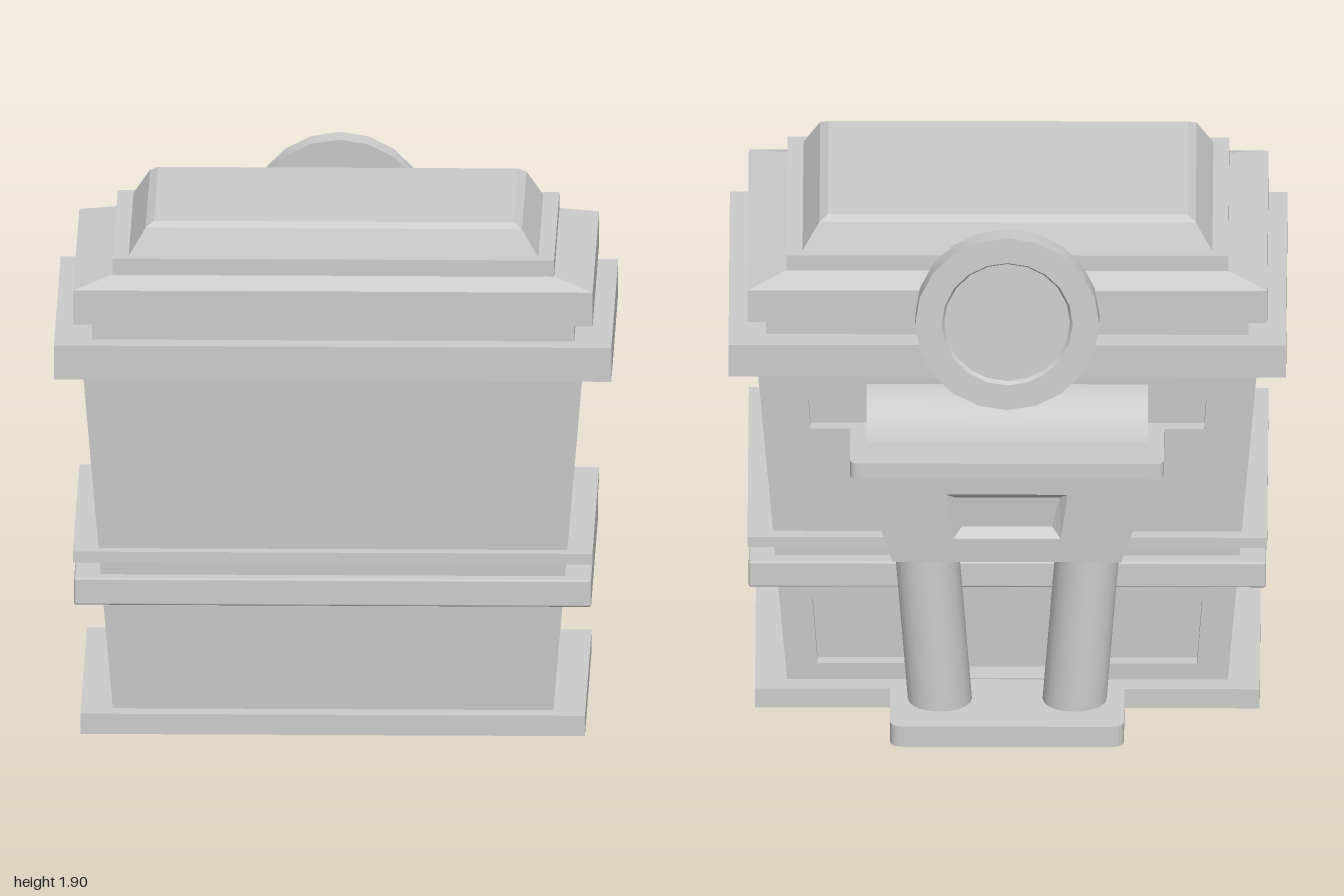
import * as THREE from 'three';
import { RoundedBoxGeometry } from 'three/addons/geometries/RoundedBoxGeometry.js';
import { toCreasedNormals } from 'three/addons/utils/BufferGeometryUtils.js';

const solid = new THREE.MeshStandardMaterial({ color: 0xcccccc });
const thin = new THREE.MeshStandardMaterial({ color: 0xcccccc, side: THREE.DoubleSide });
const inside = new THREE.MeshStandardMaterial({ color: 0xcccccc, side: THREE.BackSide });
const CZ = 0.152; // centre of the main block in z

function add(parent, name, geometry, material = solid) {
  const mesh = new THREE.Mesh(geometry, material);
  mesh.name = name;
  parent.add(mesh);
  return mesh;
}

// Box whose bottom and top rectangles may differ in size
function frustum(y0, hx0, hz0, y1, hx1 = hx0, hz1 = hz0, cz = CZ) {
  const g = new THREE.BoxGeometry(2, 1, 2).toNonIndexed();
  const p = g.attributes.position;
  for (let i = 0; i < p.count; i++) {
    const top = p.getY(i) > 0;
    p.setXYZ(i, p.getX(i) * (top ? hx1 : hx0), top ? y1 : y0, cz + p.getZ(i) * (top ? hz1 : hz0));
  }
  g.computeVertexNormals();
  return g;
}

// Quads given as corner points, flat shaded
function quads(list) {
  const pos = list.flatMap(([a, b, c, d]) => [a, b, c, a, c, d].flat());
  const g = new THREE.BufferGeometry();
  g.setAttribute('position', new THREE.Float32BufferAttribute(pos, 3));
  g.computeVertexNormals();
  return g;
}

// One sloping wall facing +z; holes are [left, right, bottom, top, recess depth (0 = open), back panel inset]
function wall(parent, name, y0, y1, w0, w1, d0, d1, holes, angle, cz, recessMaterial = thin) {
  const at = (a, b, y) => a + (b - a) * (y - y0) / (y1 - y0);
  const shape = new THREE.Shape([[-w0, y0], [w0, y0], [w1, y1], [-w1, y1]].map(p => new THREE.Vector2(...p)));
  const trays = [];
  for (const [l, r, b, t, depth, inset = 0] of holes) {
    const mid = at(w0, w1, (b + t) / 2);
    const c = [[l, b], [r, b], [r, t], [l, t]].map(([u, y]) => [u * at(w0, w1, y) / mid, y]);
    shape.holes.push(new THREE.Path(c.map(p => new THREE.Vector2(...p))));
    if (!depth) continue;
    const front = c.map(([u, y]) => [u, y, at(d0, d1, y)]);
    const back = front.map(([u, y, z], i) => [u + (i % 3 ? -inset : inset), y + (i < 2 ? inset : -inset), z - depth]);
    trays.push(back);
    for (let i = 0; i < 4; i++) {
      const j = (i + 1) % 4;
      trays.push([front[i], front[j], back[j], back[i]]);
    }
  }
  const g = new THREE.ShapeGeometry(shape);
  const p = g.attributes.position;
  for (let i = 0; i < p.count; i++) p.setZ(i, at(d0, d1, p.getY(i)));
  g.computeVertexNormals();
  const side = new THREE.Group();
  side.name = name;
  side.rotation.y = angle;
  side.position.z = cz;
  add(side, name + 'Face', g, thin);
  if (trays.length) add(side, name + 'Recesses', quads(trays), recessMaterial);
  parent.add(side);
}

// Four sloping walls
function shell(parent, name, y0, y1, hx0, hx1, hz0, hz1, cz, holes) {
  const q = Math.PI / 2;
  wall(parent, name + 'Front', y0, y1, hx0, hx1, hz0, hz1, [], 0, cz);
  wall(parent, name + 'Back', y0, y1, hx0, hx1, hz0, hz1, holes.back, Math.PI, cz);
  wall(parent, name + 'Left', y0, y1, hz0, hz1, hx0, hx1, holes.left ?? [], q, cz);
  wall(parent, name + 'Right', y0, y1, hz0, hz1, hx0, hx1, holes.right ?? [], -q, cz, inside);
}

// Flat plan shape (x, z) raised from y0 to y1, with an optional hole
function plan(shape, y0, y1, hole) {
  const s = shape.clone();
  if (hole) s.holes.push(hole);
  const g = new THREE.ExtrudeGeometry(s, { depth: y1 - y0, bevelEnabled: false, curveSegments: 5 });
  return g.rotateX(Math.PI / 2).translate(0, y1, 0);
}

function rect(Type, hx, z0, z1) {
  return new Type([[-hx, z0], [hx, z0], [hx, z1], [-hx, z1]].map(p => new THREE.Vector2(...p)));
}

function roundedPlan(hx, z0, z1, r) {
  const s = new THREE.Shape();
  s.moveTo(-hx, z1);
  s.lineTo(-hx, z0 + r);
  s.quadraticCurveTo(-hx, z0, -hx + r, z0);
  s.lineTo(hx - r, z0);
  s.quadraticCurveTo(hx, z0, hx, z0 + r);
  s.lineTo(hx, z1);
  s.closePath();
  return s;
}

export function createModel() {
  const model = new THREE.Group();
  model.name = 'building';

  // Hollow base frame
  const base = rect(THREE.Shape, 0.905, CZ - 0.64, CZ + 0.64);
  add(model, 'baseRim', plan(base, 0.01, 0.075, rect(THREE.Path, 0.85, CZ - 0.59, CZ + 0.59)));
  add(model, 'baseTop', plan(base, 0.075, 0.085, rect(THREE.Path, 0.785, CZ - 0.55, CZ + 0.55)));

  // Main walls with windows, niches and door
  const pair = (a, b, y0, y1, d) => [[a, b, y0, y1, d], [-b, -a, y0, y1, d]];
  const niche = [-0.4, 0.4, 0.105, 0.46, 0.25];
  shell(model, 'wall', 0.08, 1.33, 0.79, 0.895, 0.557, 0.626, CZ, {
    left: [...pair(0.24, 0.443, 0.775, 1.12, 0.05), [-0.133, 0.133, 0.775, 1.12, 0.05], niche],
    right: [[-0.443, 0.443, 0.775, 1.12, 0], niche],
    back: [...pair(0.37, 0.69, 0.15, 0.41, 0.05), ...pair(0.38, 0.71, 1.1, 1.215, 0.05), [-0.25, 0.25, 0.09, 0.46, 0.1]],
  });

  // Vases in the side niche
  const vaseProfile = [[0.001, 0.1], [0.052, 0.105], [0.03, 0.125], [0.047, 0.15], [0.068, 0.195], [0.077, 0.245],
    [0.073, 0.295], [0.057, 0.355], [0.037, 0.4], [0.02, 0.428], [0.043, 0.455], [0.001, 0.455]];
  const vase = new THREE.LatheGeometry(vaseProfile.map(p => new THREE.Vector2(...p)), 20);
  for (const z of [-0.262, 0, 0.262]) add(model, 'vase', vase).position.set(0.71, 0, CZ + z);

  // Bands, cornice and stepped roof
  add(model, 'lowerBand', new RoundedBoxGeometry(1.855, 0.1, 1.29, 2, 0.008)).position.set(0, 0.537, CZ);
  add(model, 'upperBand', frustum(0.645, 0.932, 0.645, 0.685));
  add(model, 'cornice', frustum(1.325, 1, 0.66, 1.45));
  add(model, 'roofNeck', frustum(1.45, 0.865, 0.567, 1.52));
  add(model, 'roofSlab', frustum(1.515, 0.932, 0.605, 1.64));
  add(model, 'roofSlope', frustum(1.64, 0.932, 0.605, 1.675, 0.795, 0.51));
  add(model, 'roofStep', frustum(1.675, 0.792, 0.51, 1.735));
  add(model, 'roofCap', frustum(1.735, 0.735, 0.468, 1.83, 0.675, 0.43));
  add(model, 'roofTop', frustum(1.83, 0.675, 0.43, 1.848, 0.645, 0.4));

  // Porch floor, hollow below
  const porch = new THREE.Group();
  porch.name = 'porch';
  model.add(porch);
  const slab = roundedPlan(0.42, -0.813, -0.44, 0.05);
  add(porch, 'porchRim', plan(slab, 0.005, 0.07, rect(THREE.Path, 0.365, -0.76, -0.49)));
  add(porch, 'porchFloor', plan(slab, 0.07, 0.085));

  // Leaning columns
  for (const side of [-1, 1]) {
    const column = new THREE.CylinderGeometry(0.115, 0.115, 0.72, 20, 1, true);
    const p = column.attributes.position;
    for (let i = 0; i < p.count; i++) {
      const t = p.getY(i) / 0.72 + 0.5;
      p.setXYZ(i, p.getX(i) + side * (0.235 + 0.055 * t), t * 0.715, p.getZ(i) - 0.565 - 0.037 * t);
    }
    add(porch, 'column', column, thin);
  }

  // Porch block with a sunken panel, cap and half-barrel roof
  shell(porch, 'porchBlock', 0.71, 1.065, 0.41, 0.525, 0.16, 0.185, -0.6, {
    back: [[-0.205, 0.205, 0.805, 0.985, 0.04, 0.03]],
  });
  add(porch, 'porchBlockUnderside', frustum(0.71, 0.41, 0.16, 0.72, 0.41, 0.16, -0.6));
  add(porch, 'porchCap', plan(roundedPlan(0.563, -0.808, -0.457, 0.035), 1.06, 1.12));
  const arc = new THREE.Shape();
  arc.moveTo(0.44, 1.12);
  arc.lineTo(0.685, 1.12);
  arc.bezierCurveTo(0.66, 1.22, 0.58, 1.28, 0.47, 1.28);
  arc.lineTo(0.44, 1.28);
  arc.closePath();
  const barrel = new THREE.ExtrudeGeometry(arc, { depth: 1.01, bevelEnabled: false, curveSegments: 12 });
  add(porch, 'barrelRoof', barrel.rotateY(Math.PI / 2).translate(-0.505, 0, 0));

  // Tilted round sign with a sunken back face
  const signProfile = [[0, -0.03], [0.225, -0.03], [0.235, -0.0475], [0.33, -0.0475], [0.33, 0.0475], [0, 0.0475]];
  const sign = new THREE.LatheGeometry(signProfile.map(p => new THREE.Vector2(...p)), 20);
  const disc = add(model, 'roundSign', toCreasedNormals(sign, 0.5));
  disc.rotation.x = Math.PI / 2 + 0.06;
  disc.position.set(0, 1.568, -0.543);
  return model;
}
